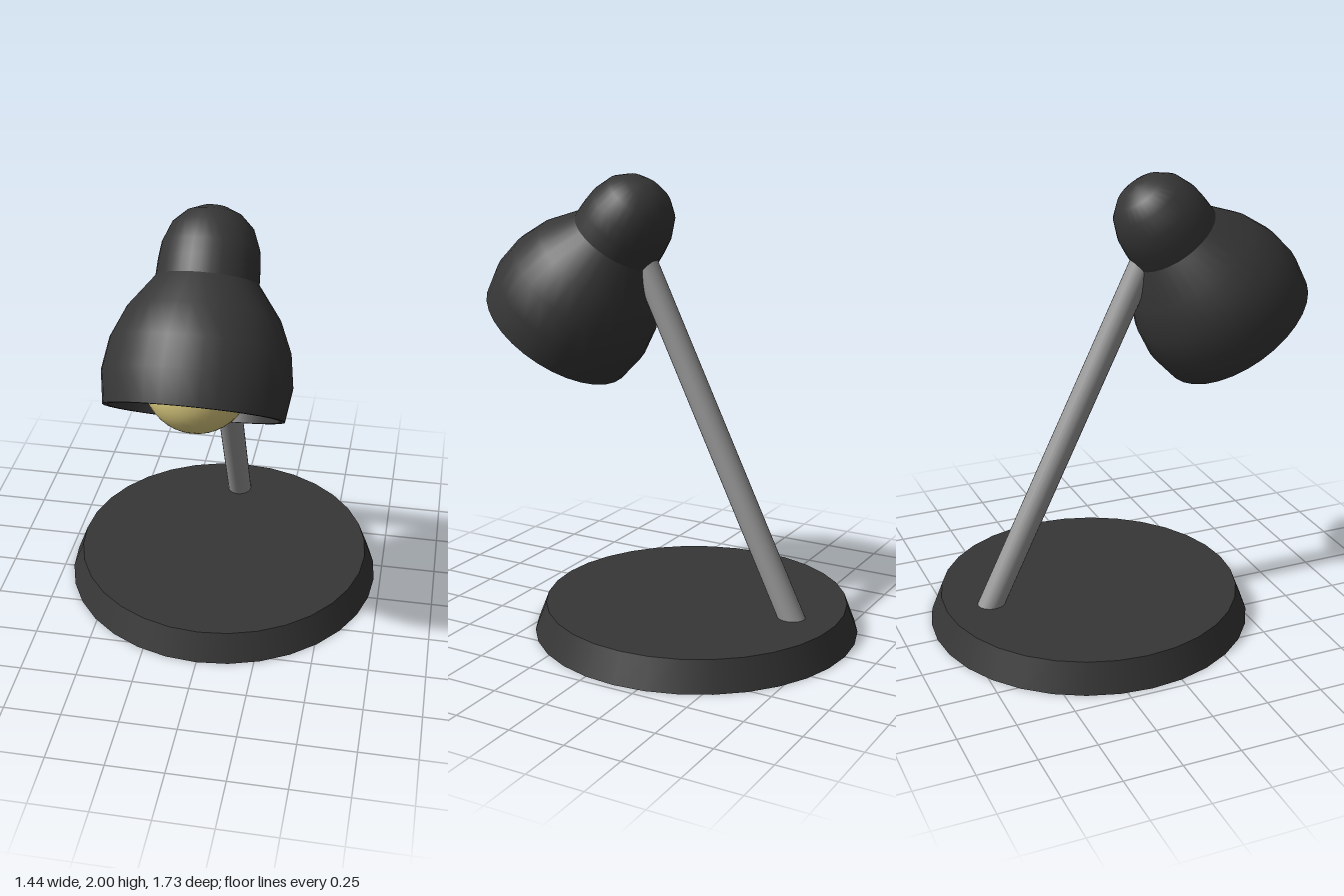
import * as THREE from 'three';

const SIDES = 32;
const DARK = new THREE.MeshStandardMaterial({ color: 0x363636 });
const METAL = new THREE.MeshStandardMaterial({ color: 0x999999 });
const GLOW = new THREE.MeshStandardMaterial({ color: 0xe0cf82 });

function part(name, geometry, material, parent) {
  const mesh = new THREE.Mesh(geometry, material);
  mesh.name = name;
  parent.add(mesh);
  return mesh;
}

// Surface of revolution; a profile running upwards faces outwards
function lathe(profile) {
  return new THREE.LatheGeometry(profile.map(([r, y]) => new THREE.Vector2(r, y)), SIDES);
}

export function createModel() {
  const lamp = new THREE.Group();
  lamp.name = 'deskLamp';

  // Bevelled round foot
  part('base', new THREE.CylinderGeometry(0.67, 0.72, 0.13, SIDES), DARK, lamp)
    .position.set(0, 0.065, -0.14);

  // Leaning pole, from inside the base to inside the cap
  const foot = new THREE.Vector3(0, 0.06, -0.639);
  const tip = new THREE.Vector3(0, 1.7, 0.16);
  const along = tip.clone().sub(foot);
  const pole = part('pole', new THREE.CylinderGeometry(0.056, 0.056, along.length(), 24), METAL, lamp);
  pole.position.copy(foot).add(tip).multiplyScalar(0.5);
  pole.quaternion.setFromUnitVectors(new THREE.Vector3(0, 1, 0), along.normalize());

  // Tilted head; its origin is the centre of the rim
  const head = new THREE.Group();
  head.name = 'head';
  head.position.set(0, 1.283, 0.573);
  head.rotation.x = -Math.PI / 5;
  lamp.add(head);

  const outer = [[0.362, 0], [0.382, 0.135], [0.362, 0.268], [0.308, 0.395], [0.208, 0.53]];
  const inner = [[0, 0.49], [0.2, 0.49], [0.288, 0.382], [0.341, 0.26], [0.361, 0.133], [0.342, 0]];
  part('shade', lathe(outer), DARK, head);
  part('shadeLining', lathe(inner), DARK, head);
  part('shadeRim', lathe([inner[5], outer[0]]), DARK, head);

  // Rounded cap on top of the shade
  part('cap', lathe([
    [0.208, 0.53], [0.205, 0.6], [0.197, 0.668], [0.165, 0.75], [0.112, 0.802], [0.053, 0.828], [0, 0.833],
  ]), DARK, head);

  // Bulb and its socket
  part('bulb', new THREE.SphereGeometry(0.215, 32, 20), GLOW, head).position.y = 0.135;
  part('socket', new THREE.CylinderGeometry(0.1, 0.1, 0.2, 24), DARK, head).position.y = 0.4;

  return lamp;
}
